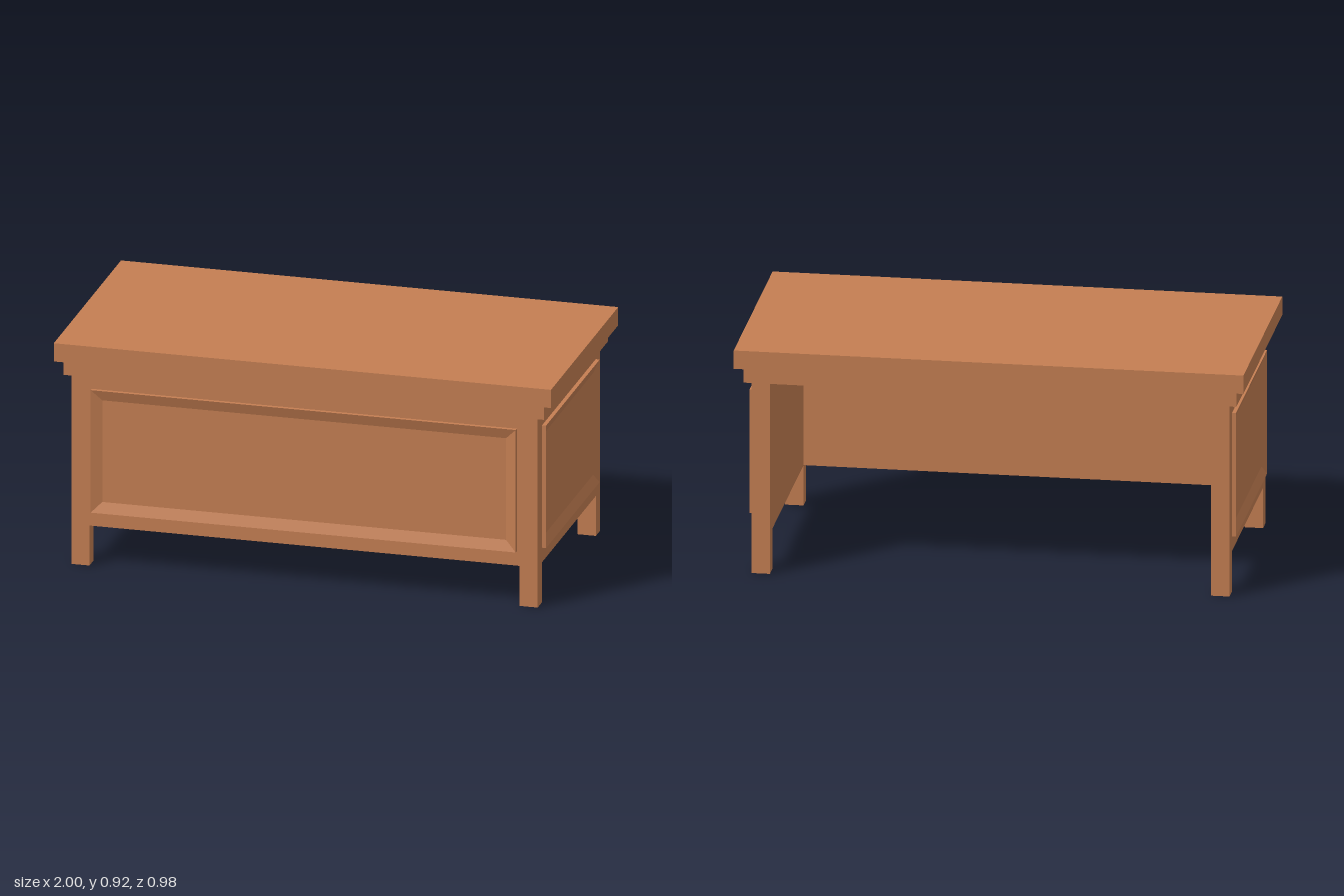
import * as THREE from 'three';

const wood = new THREE.MeshStandardMaterial({ color: 0xc47e52, flatShading: true });

// Box given by its minimum and maximum on each axis
function box(name, [x0, x1], [y0, y1], [z0, z1]) {
  const g = new THREE.BoxGeometry(x1 - x0, y1 - y0, z1 - z0);
  g.translate((x0 + x1) / 2, (y0 + y1) / 2, (z0 + z1) / 2);
  const mesh = new THREE.Mesh(g, wood);
  mesh.name = name;
  return mesh;
}

// Dished panel facing +z: raised rim, bevel sloping in to a flat field
function dishedPanel(name, w, h) {
  const rise = 0.016, bevel = 0.043, field = 0.001;
  const rings = [[0, 0], [0, rise], [bevel, field]];
  const pos = [], index = [];
  for (const [inset, z] of rings) {
    const x = w / 2 - inset, y = h / 2 - inset;
    pos.push(-x, -y, z, x, -y, z, x, y, z, -x, y, z);
  }
  for (let r = 0; r < rings.length - 1; r++) {
    for (let i = 0; i < 4; i++) {
      const a = r * 4 + i, b = r * 4 + (i + 1) % 4;
      index.push(a, b, b + 4, a, b + 4, a + 4);
    }
  }
  const c = (rings.length - 1) * 4;
  index.push(c, c + 1, c + 2, c, c + 2, c + 3);
  let g = new THREE.BufferGeometry();
  g.setAttribute('position', new THREE.Float32BufferAttribute(pos, 3));
  g.setIndex(index);
  g = g.toNonIndexed();
  g.computeVertexNormals();
  const mesh = new THREE.Mesh(g, wood);
  mesh.name = name;
  return mesh;
}

export function createModel() {
  const desk = new THREE.Group();
  desk.name = 'desk';

  // Outer limits of the body and the leg section
  const L = -0.94, R = 0.936, F = 0.452, B = -0.457;
  const legX = 0.073, legZ = 0.061, apron = 0.165, top = 0.78;

  // Table top, shadow trim and skirt
  desk.add(box('tableTop', [-1, 1], [0.842, 0.917], [-0.49, 0.49]));
  desk.add(box('topTrim', [-0.977, 0.973], [0.838, 0.842], [-0.475, 0.472]));
  desk.add(box('skirt', [-0.969, 0.965], [top, 0.838], [-0.467, 0.462]));

  // Legs
  for (const x of [[L, L + legX], [R - legX, R]]) {
    const side = x[0] > 0 ? 'Left' : 'Right';
    desk.add(box('front' + side + 'Leg', x, [0, top], [F - legZ, F]));
    desk.add(box('back' + side + 'Leg', x, [0, top], [B, B + legZ]));
    // Side wall flush with the legs
    desk.add(box('side' + side + 'Wall', x, [apron, top], [B + legZ, F - legZ]));
  }

  // Front wall; the back stays open
  desk.add(box('frontWall', [L + legX, R - legX], [apron, top], [F - legZ, F]));

  // Dished panels on the front and both sides
  const panelH = 0.505, panelY = 0.477;
  const front = dishedPanel('frontPanel', 1.71, panelH);
  front.position.set(-0.003, panelY, F);
  desk.add(front);
  for (const s of [1, -1]) {
    const panel = dishedPanel(s > 0 ? 'leftPanel' : 'rightPanel', 0.782, panelH);
    panel.rotation.y = s * Math.PI / 2;
    panel.position.set(s > 0 ? R : L, panelY, -0.003);
    desk.add(panel);
  }
  return desk;
}
